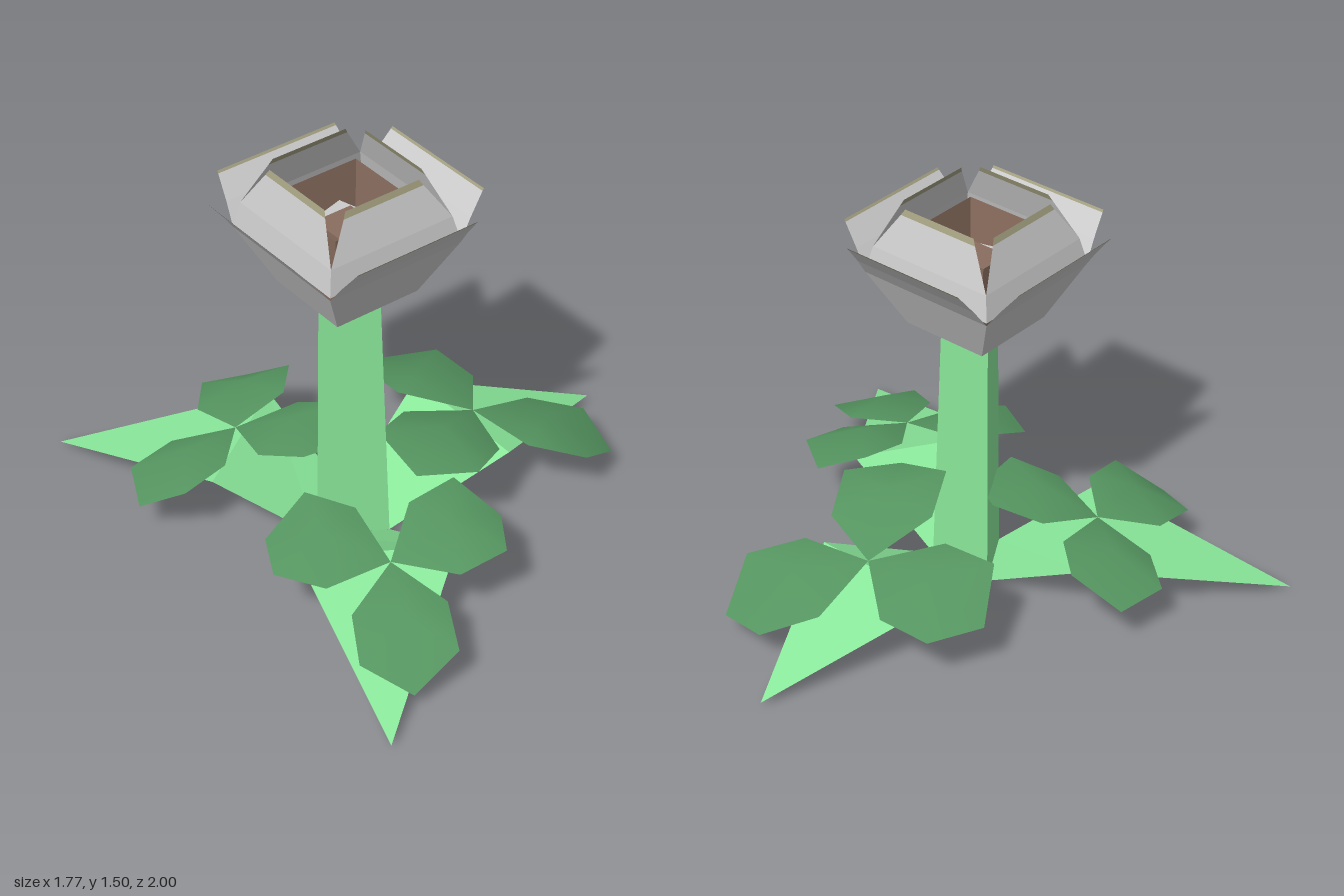
import * as THREE from 'three';

const mat = (color, flatShading = true) =>
  new THREE.MeshStandardMaterial({ color, flatShading, side: THREE.DoubleSide });
const lightGreen = mat(0x8ae89a);
const darkGreen = mat(0x559560, false);
const grey = mat(0xcccccc);
const brown = mat(0x8a6e5f);
const olive = mat(0xa39f80);

const CX = -0.25; // stem axis

function mesh(name, geometry, material) {
  const m = new THREE.Mesh(geometry, material);
  m.name = name;
  return m;
}

function surface(points, index) {
  const g = new THREE.BufferGeometry();
  g.setAttribute('position', new THREE.Float32BufferAttribute(points.flat(), 3));
  g.setIndex(index);
  g.computeVertexNormals();
  return g;
}

// Strip facing +z from rows of [distance from axis, height, half width]
function strip(rows) {
  const points = [], index = [];
  rows.forEach(([r, y, h], i) => {
    points.push([-h, y, r], [h, y, r]);
    if (i) {
      const a = 2 * i - 2;
      index.push(a, a + 1, a + 3, a, a + 3, a + 2);
    }
  });
  return surface(points, index);
}

// Four copies of a strip around the flower axis
function ring(name, rows, material) {
  const group = new THREE.Group();
  group.name = name + 's';
  const geometry = strip(rows);
  for (let i = 0; i < 4; i++) {
    const m = mesh(name, geometry, material);
    m.rotation.y = i * Math.PI / 2;
    group.add(m);
  }
  return group;
}

// Bent leaf: base edge on the stem, wide raised fold, pointed tip
function groundLeaf(base1, base2, fold1, fold2, tip) {
  return mesh('groundLeaf', surface([base1, base2, fold1, fold2, tip],
    [0, 1, 2, 0, 2, 3, 3, 2, 4]), lightGreen);
}

// Domed six-cornered leaflet lying on the sloping plane of its cluster
function leaflet(degrees, size, slopeX, slopeZ) {
  const a = degrees * Math.PI / 180, c = Math.cos(a), s = Math.sin(a);
  // forward, sideways, lift
  const outline = [[0.27, 0, 0.05], [0, 0, 0], [0.2, -0.185, 0], [0.41, -0.19, 0],
    [0.51, 0, -0.06], [0.41, 0.19, 0], [0.2, 0.185, 0]];
  const points = outline.map(([f, l, lift]) => {
    const x = size * (f * c - l * s), z = size * (f * s + l * c);
    return [x, lift - slopeX * x - slopeZ * z, z];
  });
  const index = [];
  for (let i = 1; i <= 6; i++) index.push(0, i % 6 + 1, i);
  return mesh('leaflet', surface(points, index), darkGreen);
}

export function createModel() {
  const root = new THREE.Group();
  root.name = 'flower';

  // Three-sided stem with one face towards +x
  const stem = mesh('stem', new THREE.CylinderGeometry(0.121, 0.15, 1.03, 3), lightGreen);
  stem.rotation.y = -Math.PI / 2;
  stem.position.set(CX, 0.515, 0);
  root.add(stem);

  // Ground leaves
  root.add(groundLeaf([-0.175, 0, 0.13], [-0.175, 0, -0.13],
    [0.26, 0.225, -0.27], [0.26, 0.225, 0.27], [0.88, 0.02, 0]));
  for (const s of [1, -1]) {
    root.add(groundLeaf([-0.4, 0, 0], [-0.175, 0, 0.13 * s],
      [-0.21, 0.225, 0.55 * s], [-0.67, 0.225, 0.25 * s], [-0.845, 0.02, s]));
  }

  // Leaflet clusters: centre x, z, size, outward direction, leaflet headings
  const clusters = [
    [0.28, 0.04, 1, 0, [-93, 40, 152]],
    [-0.465, 0.51, 0.88, 124, [6, 118, 235]],
    [-0.455, -0.41, 0.86, -124, [-49, 62, 177]],
  ];
  for (const [x, z, size, out, headings] of clusters) {
    const cluster = new THREE.Group();
    cluster.name = 'leafletCluster';
    cluster.position.set(x, 0.265, z);
    const o = out * Math.PI / 180;
    for (const d of headings) {
      cluster.add(leaflet(d, size, 0.3 * Math.cos(o), 0.3 * Math.sin(o)));
    }
    root.add(cluster);
  }

  // Flower head
  const head = new THREE.Group();
  head.name = 'flowerHead';
  head.position.x = CX;
  head.add(
    ring('outerPetal', [[0.168, 1.03, 0.168], [0.27, 1.24, 0.27], [0.32, 1.31, 0.258],
      [0.38, 1.385, 0.246]], grey),
    ring('outerPetalRim', [[0.38, 1.385, 0.246], [0.386, 1.393, 0.245]], olive),
    ring('innerPetal', [[0.27, 1.25, 0.27], [0.25, 1.34, 0.25], [0.205, 1.475, 0.163]], grey),
    ring('innerPetalRim', [[0.205, 1.475, 0.163], [0.197, 1.497, 0.15]], olive),
    ring('cupWall', [[0.15, 1.05, 0.15], [0.175, 1.38, 0.175]], brown),
  );
  const base = mesh('headBase', new THREE.BoxGeometry(0.336, 0.01, 0.336), grey);
  base.position.y = 1.035;
  const plate = mesh('centrePlate', new THREE.BoxGeometry(0.25, 0.02, 0.25), grey);
  plate.position.y = 1.25;
  plate.rotation.y = 0.27;
  const core = mesh('core', new THREE.BoxGeometry(0.15, 0.03, 0.15), brown);
  core.position.y = 1.27;
  head.add(base, plate, core);
  root.add(head);
  return root;
}
